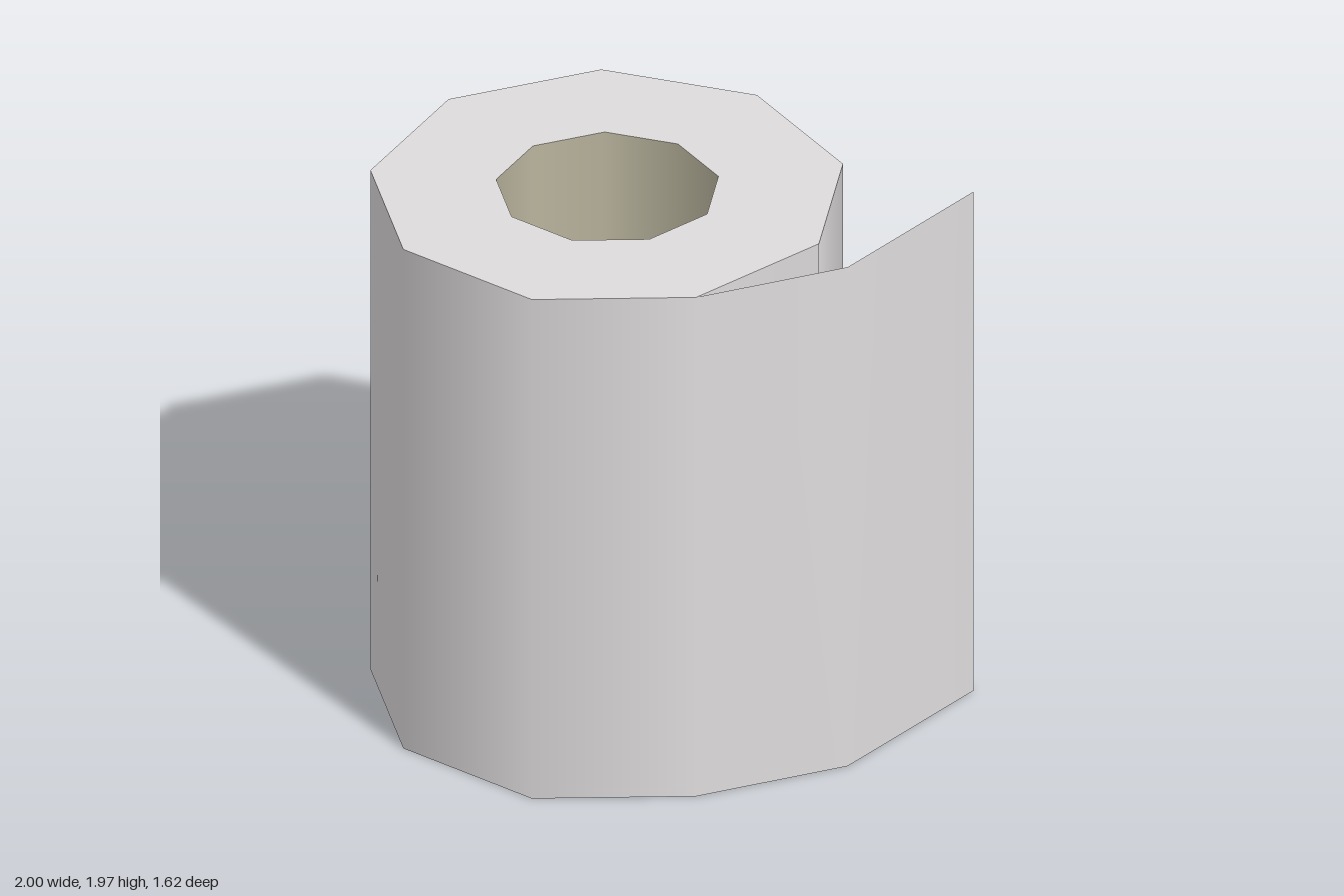
import * as THREE from 'three';

const HEIGHT = 1.97, SIDES = 9, OUTER = 0.825, INNER = 0.388, AXIS_X = -0.226;

const paper = new THREE.MeshStandardMaterial({ color: 0xdedbdc, side: THREE.DoubleSide });
paper.name = 'paper';
const cardboard = new THREE.MeshStandardMaterial({ color: 0xb9b49d, side: THREE.DoubleSide });
cardboard.name = 'cardboard';

// Open nine-sided wall with a corner pointing to +x
function wall(radius) {
  return new THREE.CylinderGeometry(radius, radius, HEIGHT, SIDES, 1, true, Math.PI / 2)
    .translate(AXIS_X, HEIGHT / 2, 0);
}

// Flat ring closing one end of the roll
function endRing(y, facing) {
  return new THREE.RingGeometry(INNER, OUTER, SIDES, 1)
    .rotateX(-facing * Math.PI / 2)
    .translate(AXIS_X, y, 0);
}

// Upright strip following [x, z] points
function strip(path) {
  const geo = new THREE.PlaneGeometry(1, HEIGHT, path.length - 1, 1);
  const pos = geo.attributes.position;
  for (let i = 0; i < pos.count; i++) {
    const [x, z] = path[i % path.length];
    pos.setXYZ(i, x, pos.getY(i) + HEIGHT / 2, z);
  }
  geo.computeVertexNormals();
  return geo;
}

export function createModel() {
  const group = new THREE.Group();
  group.name = 'paperRoll';
  const add = (name, geo, mat) => {
    const mesh = new THREE.Mesh(geo, mat);
    mesh.name = name;
    group.add(mesh);
  };

  // Wound paper
  add('rollSide', wall(OUTER), paper);
  add('rollTop', endRing(HEIGHT, 1), paper);
  add('rollBottom', endRing(0, -1), paper);

  // Cardboard core, seen from inside
  add('coreTube', wall(INNER), cardboard);

  // Loose sheet leaving the front of the roll
  const a = THREE.MathUtils.degToRad(80);
  const start = [AXIS_X + OUTER * Math.cos(a), OUTER * Math.sin(a)];
  add('looseSheet', strip([start, [0.47, 0.71], [1, 0.28]]), paper);

  return group;
}
